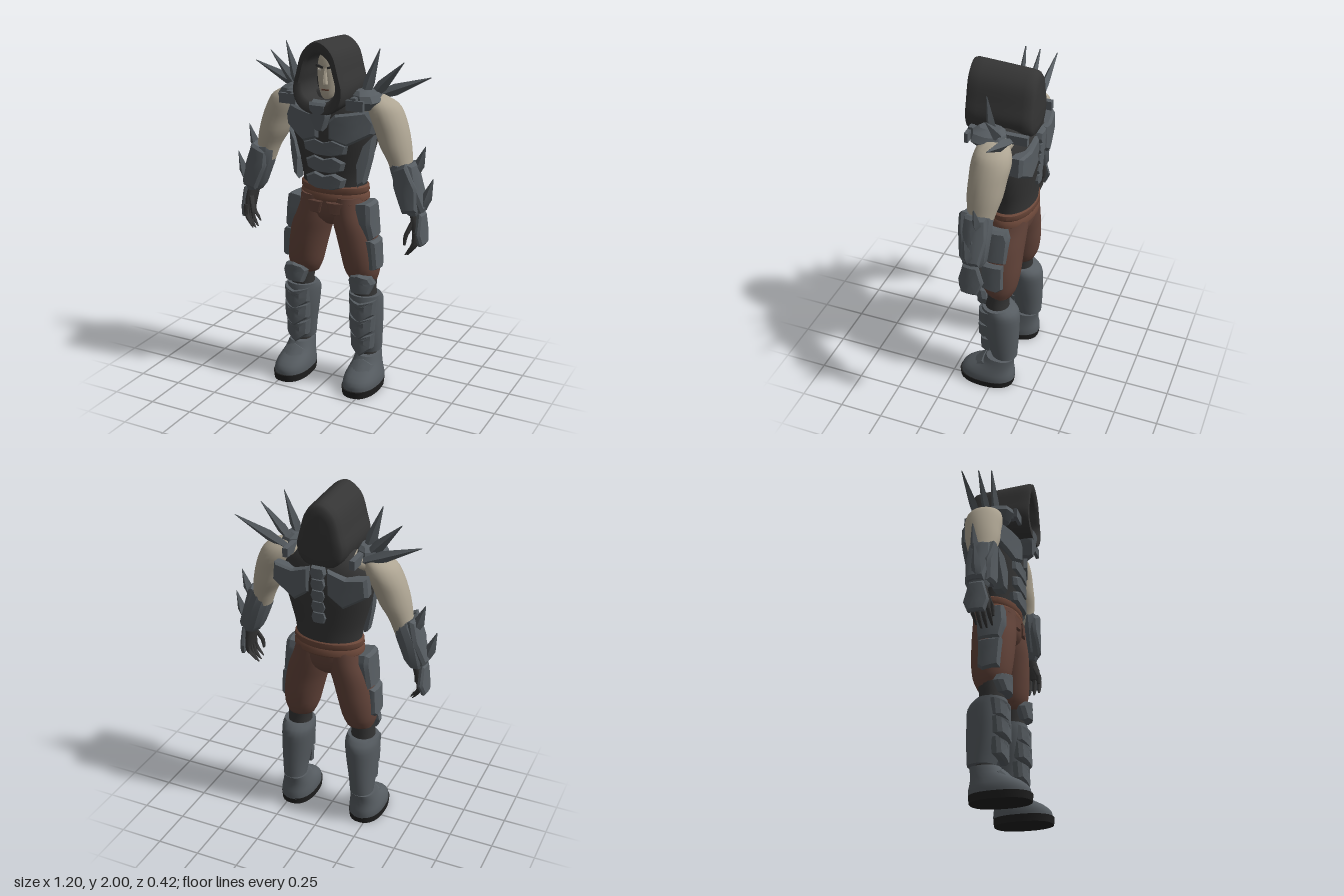
import * as THREE from 'three';
import { toCreasedNormals } from 'three/addons/utils/BufferGeometryUtils.js';

const mat = (name, color) => Object.assign(new THREE.MeshStandardMaterial({ color }), { name });

// Joins rings of points into a closed skin with capped ends.
function skin(rings) {
  const n = rings[0].length, pos = [], idx = [];
  rings.forEach(r => r.forEach(p => pos.push(...p)));
  for (let j = 0; j < rings.length - 1; j++) for (let i = 0; i < n; i++) {
    const a = j * n + i, b = j * n + (i + 1) % n;
    idx.push(a, a + n, b, b, a + n, b + n);
  }
  [0, rings.length - 1].forEach((j, end) => {
    const c = pos.length / 3;
    pos.push(...[0, 1, 2].map(k => rings[j].reduce((s, p) => s + p[k], 0) / n));
    for (let i = 0; i < n; i++) {
      const a = j * n + i, b = j * n + (i + 1) % n;
      end ? idx.push(c, b, a) : idx.push(c, a, b);
    }
  });
  const g = new THREE.BufferGeometry();
  g.setAttribute('position', new THREE.Float32BufferAttribute(pos, 3));
  g.setIndex(idx);
  return g;
}

// Horizontal rings [y, cx, rx, cz, rz] from bottom to top; sub > 1 smooths between them.
function loft(rings, n = 20, sub = 1, power = 1) {
  if (sub > 1) {
    const curve = f => new THREE.CatmullRomCurve3(rings.map(f), false, 'catmullrom', 0.5);
    const a = curve(r => new THREE.Vector3(r[0], r[1], r[2]));
    const b = curve(r => new THREE.Vector3(r[3], r[4], 0));
    const m = (rings.length - 1) * sub;
    rings = Array.from({ length: m + 1 }, (_, i) => {
      const p = a.getPoint(i / m), q = b.getPoint(i / m);
      return [p.x, p.y, p.z, q.x, q.y];
    });
  }
  const pw = v => Math.sign(v) * Math.abs(v) ** power;
  return skin(rings.map(([y, cx, rx, cz, rz]) => Array.from({ length: n }, (_, i) => {
    const t = i / n * Math.PI * 2;
    return [cx + rx * pw(Math.cos(t)), y, cz + rz * pw(Math.sin(t))];
  })));
}

// Bevelled armour plate facing +z, bent by z - k * (x - cx)^2.
function plate(pts, z = 0, k = 0, cx = 0, thick = 0.016, back = 0.05) {
  if (THREE.ShapeUtils.area(pts.map(p => new THREE.Vector2(...p))) > 0) pts = [...pts].reverse();
  const edge = [];
  pts.forEach((p, i) => {
    const q = pts[(i + 1) % pts.length];
    for (let s = 0; s < 3; s++) edge.push([p[0] + (q[0] - p[0]) * s / 3, p[1] + (q[1] - p[1]) * s / 3]);
  });
  const mx = edge.reduce((s, p) => s + p[0], 0) / edge.length;
  const my = edge.reduce((s, p) => s + p[1], 0) / edge.length;
  const ring = (s, dz) => edge.map(([px, py]) => {
    const x = mx + (px - mx) * s, y = my + (py - my) * s;
    return [x, y, z + dz - k * (x - cx) ** 2];
  });
  return skin([ring(0.97, -back), ring(1, 0), ring(0.86, thick), ring(0.4, thick)]);
}

// Diamond-section spike from a to b.
function spike(a, b, w, d) {
  const A = new THREE.Vector3(...a), dir = new THREE.Vector3(...b).sub(A), L = dir.length();
  const g = loft([[0, 0, w * 0.6, 0, d], [L * 0.35, 0, w, 0, d], [L, 0, 0.002, 0, 0.003]], 4);
  g.applyQuaternion(new THREE.Quaternion().setFromUnitVectors(new THREE.Vector3(0, 1, 0), dir.normalize()));
  return g.translate(...a);
}

const box = (w, h, d, x, y, z, rz = 0) => new THREE.BoxGeometry(w, h, d).rotateZ(rz).translate(x, y, z);

export function createModel() {
  const root = new THREE.Group();
  root.name = 'hoodedWarrior';
  const armour = mat('armourGrey', 0x565c61), cloth = mat('blackCloth', 0x353535);
  const skinTone = mat('paleSkin', 0xaea593), brown = mat('brownTrousers', 0x63443a);
  const belt = mat('beltBrown', 0x6b4739), sole = mat('soleBlack', 0x1f1f1f), eye = mat('eyeWhite', 0xd2cdc2);

  const add = (name, geo, material, crease = 0.45) => {
    const m = new THREE.Mesh(toCreasedNormals(geo, crease), material);
    m.name = name;
    root.add(m);
    return m;
  };
  // Adds a part on the left side and its mirror image on the right.
  const pair = (name, geo, material, crease) => {
    const left = add(name + 'Left', geo, material, crease);
    const g = left.geometry.clone().scale(-1, 1, 1);
    for (const key of Object.keys(g.attributes)) {
      const at = g.attributes[key], s = at.itemSize, arr = at.array;
      for (let i = 0; i < at.count; i += 3) for (let c = 0; c < s; c++) {
        const u = (i + 1) * s + c, v = (i + 2) * s + c, t = arr[u];
        arr[u] = arr[v]; arr[v] = t;
      }
    }
    const right = new THREE.Mesh(g, material);
    right.name = name + 'Right';
    root.add(right);
  };
  const S = 1.2; // crease angle for soft parts

  // Boots, knees and greaves
  pair('sole', loft([[0, 0.222, 0.1, 0.045, 0.163], [0.04, 0.222, 0.104, 0.045, 0.167]], 28, 1, 0.85), sole, 0.7);
  pair('boot', loft([[0.035, 0.222, 0.1, 0.04, 0.162], [0.07, 0.222, 0.1, 0.038, 0.16], [0.105, 0.22, 0.092, 0.022, 0.138],
    [0.145, 0.218, 0.08, -0.015, 0.098], [0.19, 0.217, 0.07, -0.037, 0.083]], 28, 2, 0.85), armour, 0.8);
  pair('instepPlate', plate([[-0.065, 0.06], [0, 0.08], [0.065, 0.06], [0.07, -0.03], [0, -0.07], [-0.07, -0.03]], 0, 5, 0, 0.01, 0.03)
    .rotateX(-0.85).translate(0.22, 0.125, 0.105), armour);
  pair('ankle', loft([[0.17, 0.215, 0.05, -0.04, 0.055], [0.25, 0.213, 0.05, -0.045, 0.055]]), cloth, S);
  pair('knee', loft([[0.53, 0.2, 0.072, -0.015, 0.07], [0.6, 0.198, 0.068, -0.01, 0.068], [0.69, 0.19, 0.075, -0.02, 0.075]]), cloth, S);
  pair('greave', loft([[0.205, 0.215, 0.068, -0.06, 0.075], [0.3, 0.212, 0.077, -0.045, 0.096], [0.42, 0.205, 0.09, -0.034, 0.11],
    [0.52, 0.2, 0.096, -0.03, 0.11], [0.565, 0.2, 0.092, -0.012, 0.085]], 20, 3), armour, 0.8);
  [[0.55, 0.085, 0.08], [0.45, 0.08, 0.083], [0.34, 0.072, 0.07]].forEach(([y, w, z], i) =>
    pair('shinPlate' + i, plate([[-w, y], [0, y - 0.02], [w, y], [w * 0.92, y - 0.09], [0, y - 0.14], [-w * 0.92, y - 0.09]],
      z, 7, 0, 0.014, 0.03).translate(0.207, 0, 0), armour));
  pair('kneePad', plate([[0.13, 0.66], [0.15, 0.69], [0.205, 0.705], [0.265, 0.69], [0.285, 0.65], [0.26, 0.59], [0.155, 0.585]],
    0.085, 6, 0.205, 0.018, 0.03), armour);

  // Trousers and belt
  pair('trouserLeg', loft([[0.64, 0.183, 0.078, -0.025, 0.07], [0.7, 0.178, 0.1, -0.02, 0.1], [0.8, 0.165, 0.112, -0.02, 0.115],
    [0.9, 0.145, 0.118, -0.02, 0.12], [0.98, 0.123, 0.12, -0.022, 0.123], [1.06, 0.1, 0.11, -0.027, 0.122], [1.13, 0.09, 0.1, -0.03, 0.12]], 24, 3), brown, S);
  add('hips', loft([[0.955, 0, 0.06, -0.025, 0.06], [1.0, 0, 0.15, -0.025, 0.105], [1.06, 0, 0.192, -0.028, 0.124], [1.14, 0, 0.194, -0.033, 0.125]], 28, 2), brown, S);
  pair('pocket', plate([[0.012, 1.105], [0.155, 1.105], [0.145, 1.05], [0.12, 1.03], [0.03, 1.035]], 0.102, 1.4, 0, 0.005, 0.03), brown);
  add('belt', loft([[1.1, 0, 0.19, -0.035, 0.125], [1.112, 0, 0.203, -0.037, 0.134], [1.135, 0, 0.203, -0.037, 0.134], [1.148, 0, 0.194, -0.037, 0.127],
    [1.16, 0, 0.202, -0.037, 0.134], [1.185, 0, 0.2, -0.037, 0.132], [1.197, 0, 0.185, -0.037, 0.12]], 32), belt, 0.7);
  pair('hipPlateUpper', plate([[-0.06, 0.11], [0.075, 0.11], [0.09, 0.06], [0.08, -0.1], [-0.05, -0.1], [-0.07, 0]], 0, 2, 0, 0.02, 0.06)
    .rotateY(Math.PI / 2).rotateZ(0.1).translate(0.247, 1.0, 0), armour);
  pair('hipPlateLower', plate([[-0.06, 0.09], [0.07, 0.09], [0.07, -0.07], [0.04, -0.095], [-0.05, -0.08]], 0, 2, 0, 0.018, 0.06)
    .rotateY(Math.PI / 2).rotateZ(0.06).translate(0.275, 0.81, 0), armour);

  // Vest with chest, stomach and flank plates
  add('vest', loft([[1.16, 0, 0.185, -0.037, 0.125], [1.25, 0, 0.195, -0.037, 0.128], [1.35, 0, 0.222, -0.037, 0.138], [1.48, 0, 0.255, -0.04, 0.148],
    [1.58, 0, 0.255, -0.042, 0.14], [1.66, 0, 0.2, -0.042, 0.12], [1.71, 0, 0.13, -0.04, 0.09]], 32, 3), cloth, S);
  pair('chestPlate', plate([[0.03, 1.565], [0.065, 1.6], [0.235, 1.625], [0.275, 1.56], [0.262, 1.5], [0.13, 1.43], [0.03, 1.465]], 0.108, 1.2), armour);
  [[1.455, 0.14], [1.36, 0.12], [1.265, 0.12]].forEach(([y, w], i) =>
    add('stomachPlate' + i, plate([[-w, y - 0.025], [-0.06, y + 0.005], [0, y - 0.012], [0.06, y + 0.005], [w, y - 0.025],
      [w * 0.9, y - 0.07], [0.05, y - 0.088], [-0.05, y - 0.088], [-w * 0.9, y - 0.07]], 0.1, 1.2), armour));
  pair('flankPlate', plate([[0.255, 1.49], [0.205, 1.43], [0.175, 1.33], [0.18, 1.2], [0.21, 1.22], [0.24, 1.36]], 0.1, 1.3), armour);
  add('throatGuard', plate([[-0.05, 1.675], [0.05, 1.675], [0.052, 1.6], [0.02, 1.515], [-0.02, 1.515], [-0.052, 1.6]], 0, 2)
    .translate(0, -1.6, 0).rotateX(0.15).translate(0, 1.6, 0.165), armour);

  // Back plates and spine
  pair('shoulderBladePlate', plate([[-0.05, 1.635], [-0.15, 1.6], [-0.265, 1.615], [-0.275, 1.51], [-0.14, 1.425], [-0.05, 1.49]], 0.18, 0.3)
    .rotateY(Math.PI), armour);
  for (let i = 0; i < 5; i++) {
    const y = 1.61 - i * 0.066;
    add('spinePlate' + i, plate([[-0.035, y + 0.035], [0.035, y + 0.035], [0.045, y], [0.03, y - 0.032], [-0.03, y - 0.032], [-0.045, y]],
      0.188 - i * 0.004, 3).rotateY(Math.PI), armour);
  }

  // Bare arms, gauntlets and hands
  pair('arm', loft([[1.27, 0.425, 0.055, -0.005, 0.06], [1.36, 0.402, 0.066, -0.01, 0.078], [1.44, 0.372, 0.085, -0.016, 0.095], [1.52, 0.346, 0.092, -0.022, 0.1],
    [1.6, 0.312, 0.096, -0.028, 0.105], [1.66, 0.285, 0.085, -0.028, 0.09], [1.7, 0.25, 0.045, -0.028, 0.05]], 20, 3), skinTone, S);
  pair('shoulderMuscle', new THREE.SphereGeometry(1, 16, 10).scale(0.1, 0.05, 0.08).translate(0.18, 1.65, -0.025), skinTone, S);
  pair('gauntlet', loft([[1.085, 0.5, 0.045, 0, 0.055], [1.12, 0.49, 0.062, 0, 0.072], [1.24, 0.458, 0.078, 0, 0.08], [1.33, 0.422, 0.07, 0, 0.08],
    [1.355, 0.42, 0.066, 0, 0.075]], 12), armour);
  pair('gauntletPlate', plate([[0.465, 1.375], [0.385, 1.335], [0.395, 1.24], [0.455, 1.1], [0.53, 1.11], [0.525, 1.24]], 0.078, 4, 0.455, 0.014, 0.03), armour);
  pair('gauntletOuterPlate', plate([[-0.06, 0.14], [0.06, 0.14], [0.07, 0.02], [0.045, -0.13], [-0.045, -0.13], [-0.07, 0.02]], 0, 5, 0, 0.014, 0.04)
    .rotateY(Math.PI / 2).rotateZ(0.28).translate(0.523, 1.235, 0), armour);
  pair('gauntletSpikeUpper', spike([0.49, 1.3, -0.02], [0.54, 1.455, -0.02], 0.03, 0.022), armour);
  pair('gauntletSpikeLower', spike([0.55, 1.13, 0.01], [0.6, 1.295, 0.01], 0.03, 0.026), armour);
  pair('palm', loft([[0.97, 0.525, 0.022, 0.015, 0.055], [1.03, 0.518, 0.03, 0.01, 0.058], [1.1, 0.505, 0.034, 0, 0.045]], 12, 2), cloth, S);
  pair('handPlate', plate([[-0.04, 0.08], [0.04, 0.08], [0.07, -0.03], [0.04, -0.1], [-0.05, -0.1], [-0.07, -0.03]], 0, 3, 0, 0.01, 0.015)
    .rotateY(Math.PI / 2).rotateZ(0.1).translate(0.553, 1.02, 0.005), armour);
  for (let i = 0; i < 4; i++) {
    const z = -0.025 + i * 0.029, d = i === 0 ? 0.025 : i === 3 ? 0.01 : 0;
    pair('finger' + i, loft([[0.858 + d, 0.477, 0.004, z + 0.012, 0.005], [0.89 + d, 0.5, 0.011, z + 0.008, 0.011],
      [0.94, 0.523, 0.014, z + 0.004, 0.013], [1.0, 0.525, 0.015, z, 0.014]], 7, 2), cloth, 0.9);
  }
  pair('thumb', loft([[0.925, 0.472, 0.007, 0.075, 0.009], [0.98, 0.478, 0.013, 0.07, 0.014], [1.05, 0.505, 0.016, 0.04, 0.018]], 7, 2), cloth, 0.9);

  // Spiked shoulder guards
  pair('shoulderGuard', loft([[1.635, 0.215, 0.045, 0.02, 0.07], [1.68, 0.222, 0.08, 0.02, 0.1], [1.715, 0.215, 0.065, 0.02, 0.09], [1.735, 0.2, 0.035, 0.02, 0.06]], 8, 1, 0.8), armour);
  pair('shoulderBar', box(0.03, 0.05, 0.32, 0.19, 1.685, -0.02), armour);
  pair('shoulderBarEnd', box(0.1, 0.055, 0.02, 0.2, 1.67, 0.135), armour);
  [[[0.19, 1.68, 0.01], [0.28, 1.955, 0.005]], [[0.21, 1.68, -0.035], [0.4, 1.885, -0.035]], [[0.22, 1.68, -0.09], [0.53, 1.808, -0.09]]]
    .forEach(([a, b], i) => pair('shoulderSpike' + i, spike(a, b, 0.032, 0.022), armour));

  // Head and face
  add('head', loft([[1.66, 0, 0.03, 0.02, 0.045], [1.69, 0, 0.052, 0.015, 0.067], [1.75, 0, 0.069, 0.01, 0.078], [1.83, 0, 0.076, 0.005, 0.083],
    [1.9, 0, 0.066, 0, 0.075], [1.94, 0, 0.03, 0, 0.04]], 24, 3), skinTone, S);
  add('nose', loft([[1.757, 0, 0.018, 0.085, 0.024], [1.77, 0, 0.017, 0.086, 0.026], [1.84, 0, 0.009, 0.082, 0.01]], 8), skinTone);
  add('mouth', box(0.044, 0.008, 0.008, 0, 1.725, 0.084), belt);
  pair('brow', box(0.044, 0.012, 0.012, 0.034, 1.848, 0.081, 0.25), cloth);
  pair('eye', box(0.024, 0.008, 0.008, 0.034, 1.83, 0.078, 0.1), eye);

  // Hood: the outline runs back to front, then turns in over the rim
  const half = [[0.085, 1.945], [0.128, 1.82], [0.147, 1.735], [0.13, 1.665], [0.08, 1.62]];
  const outline = [[0, 2.0], ...half, [0, 1.605], ...half.map(([x, y]) => [-x, y]).reverse()];
  const curve = new THREE.CatmullRomCurve3(outline.map(p => new THREE.Vector3(...p, 0)), true);
  const pts = curve.getPoints(48).slice(0, 48);
  const hoodRing = (sx, sy, z) => pts.map(p => [p.x * sx, 1.8 + (p.y - 1.8) * sy, z]);
  add('hood', skin([hoodRing(0.5, 0.6, -0.176), hoodRing(0.76, 0.82, -0.172), hoodRing(0.88, 0.9, -0.158), hoodRing(0.94, 0.93, -0.12),
    hoodRing(0.98, 0.96, 0), hoodRing(1, 0.99, 0.12), hoodRing(1, 1, 0.165), hoodRing(0.96, 0.97, 0.182), hoodRing(0.78, 0.76, 0.182),
    hoodRing(0.68, 0.66, 0.165), hoodRing(0.66, 0.66, 0.1), hoodRing(0.64, 0.64, 0)]), cloth, 0.9);
  return root;
}
